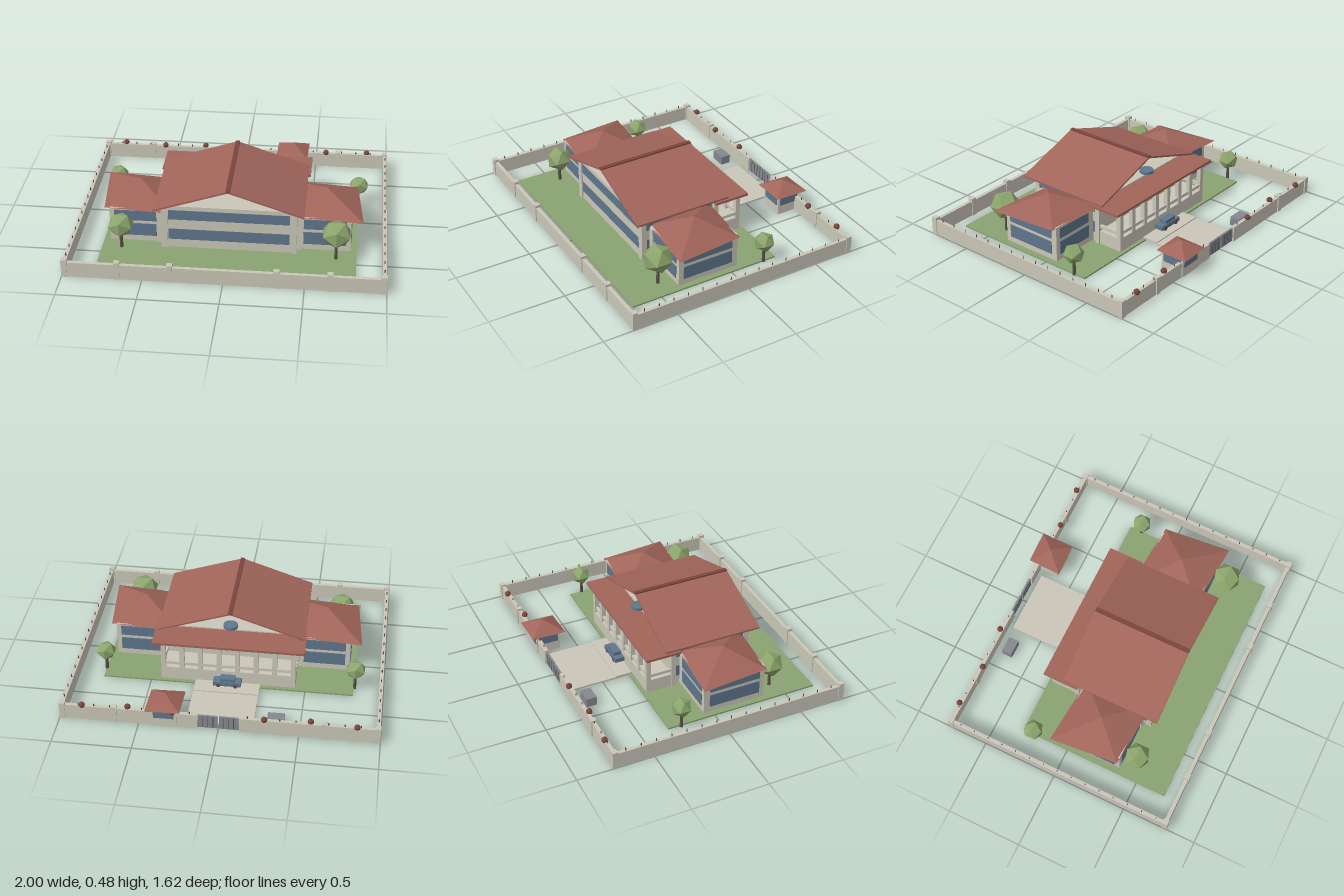
import * as THREE from 'three';

const mat = (name, color) => {
  const m = new THREE.MeshStandardMaterial({ color, flatShading: true });
  m.name = name;
  return m;
};

export function createModel() {
  const model = new THREE.Group();
  model.name = 'walledEstate';
  const cream = mat('cream plaster', 0xcac6b8);
  const tile = mat('roof tile', 0xa1655a);
  const ridgeRed = mat('dark ridge red', 0x7a453d);
  const glass = mat('blue glass', 0x5f768c);
  const grass = mat('lawn green', 0x8aa371);
  const leaf = mat('leaf green', 0x8ca56c);
  const bark = mat('bark', 0x5a5046);
  const steel = mat('grey steel', 0x84888f);

  const add = (name, geo, material, x = 0, y = 0, z = 0, parent = model) => {
    const mesh = new THREE.Mesh(geo, material);
    mesh.name = name;
    mesh.position.set(x, y, z);
    parent.add(mesh);
    return mesh;
  };
  // Box given by its limits on each axis
  const box = (name, material, x0, x1, y0, y1, z0, z1, parent = model) =>
    add(name, new THREE.BoxGeometry(x1 - x0, y1 - y0, z1 - z0), material,
      (x0 + x1) / 2, (y0 + y1) / 2, (z0 + z1) / 2, parent);
  // Four-sided roof whose eave corners are at +-a and +-b around the centre
  const hipRoof = (name, cx, cz, y0, y1, a, b) => {
    const ring = [a, b, [-a[0], -a[1]], [-b[0], -b[1]]];
    const pos = [];
    for (let i = 0; i < 4; i++) {
      const p = ring[i], q = ring[(i + 1) % 4];
      pos.push(p[0], 0, p[1], q[0], 0, q[1], 0, y1 - y0, 0);
      pos.push(q[0], 0, q[1], p[0], 0, p[1], 0, 0, 0);
    }
    const g = new THREE.BufferGeometry();
    g.setAttribute('position', new THREE.Float32BufferAttribute(pos, 3));
    g.computeVertexNormals();
    return add(name, g, tile, cx, y0, cz);
  };

  // Grounds
  box('lawn', grass, -0.81, 0.81, 0, 0.01, -0.32, 0.7);
  box('driveway', cream, -0.21, 0.21, 0.001, 0.013, -0.71, -0.3);
  box('entranceStep', cream, -0.21, 0.21, 0.002, 0.02, -0.41, -0.3);

  // Perimeter wall with posts and spikes
  const wallH = 0.102;
  for (const s of [-1, 1]) {
    box('sideWall', cream, s * 0.984 - 0.012, s * 0.984 + 0.012, 0, wallH, -0.75, 0.788);
    const x0 = s < 0 ? -0.984 : 0.13, x1 = s < 0 ? -0.13 : 0.984;
    box('backWall', cream, x0, x1, 0, wallH, -0.763, -0.739);
    for (const x of [0.982, 0.655, 0.328]) {
      box('frontPost', cream, s * x - 0.018, s * x + 0.018, 0, 0.12, 0.77, 0.806);
      if (x > 0.5) box('backPost', cream, s * x - 0.018, s * x + 0.018, 0, 0.115, -0.77, -0.734);
    }
    for (let z = -0.68; z < 0.75; z += 0.1)
      add('wallSpike', new THREE.CylinderGeometry(0.003, 0.004, 0.02, 4), bark, s * 0.984, wallH + 0.01, z);
    for (let x = 0.18; x < 0.95; x += 0.1)
      add('wallSpike', new THREE.CylinderGeometry(0.003, 0.004, 0.016, 4), bark, s * x, wallH + 0.008, -0.751);
    [[0.285, -0.76], [0.57, -0.741], [0.855, -0.76]].forEach(([x, z]) =>
      add('wallBall', new THREE.IcosahedronGeometry(0.02, 1), ridgeRed, s * x, 0.11, z));
    box('gateLeaf', steel, s > 0 ? 0.006 : -0.125, s > 0 ? 0.125 : -0.006, 0.008, 0.098, -0.757, -0.745);
    for (let i = 1; i < 4; i++)
      box('gateBar', bark, s * i * 0.032 - 0.002, s * i * 0.032 + 0.002, 0.012, 0.094, -0.759, -0.743);
  }
  box('frontWall', cream, -0.984, 0.984, 0, wallH, 0.776, 0.8);

  // Main house
  box('mainBody', cream, -0.42, 0.42, 0.004, 0.31, -0.12, 0.415);
  for (const [y0, y1] of [[0.07, 0.145], [0.215, 0.282]]) {
    box('frontWindow', glass, -0.385, 0.385, y0, y1, 0.413, 0.419);
    for (const s of [-1, 1])
      box('sideWindow', glass, s * 0.421 - 0.003, s * 0.421 + 0.003, y0, y1, -0.085, 0.388);
  }
  for (const s of [-1, 1]) {
    box('frontPier', cream, s * 0.41 - 0.02, s * 0.41 + 0.02, 0.004, 0.308, 0.39, 0.425);
    box('backPier', cream, s * 0.425 - 0.018, s * 0.425 + 0.018, 0.004, 0.295, -0.127, -0.095);
  }

  // Open gable roof
  const chevron = new THREE.Shape([[-0.475, 0.302], [0, 0.461], [0.475, 0.302], [0.475, 0.314], [0, 0.473],
    [-0.475, 0.314]].map(p => new THREE.Vector2(...p)));
  add('mainRoof', new THREE.ExtrudeGeometry(chevron, { depth: 0.66, bevelEnabled: false }), tile, 0, 0, -0.18);
  box('roofRidge', ridgeRed, -0.014, 0.014, 0.462, 0.477, -0.18, 0.48);
  add('gableDisc', new THREE.CylinderGeometry(0.046, 0.046, 0.018, 20), glass, 0, 0.366, -0.157);

  // Columned porch
  box('porchRoof', tile, -0.49, 0.49, 0.286, 0.302, -0.318, -0.08);
  box('porchFloor', cream, -0.435, 0.435, 0.003, 0.1, -0.295, -0.12);
  box('porchRail', cream, -0.435, 0.435, 0.122, 0.142, -0.29, -0.272);
  for (const s of [-1, 1])
    box('porchSideRail', cream, s * 0.425 - 0.01, s * 0.425 + 0.01, 0.122, 0.142, -0.28, -0.12);
  for (let i = 0; i < 8; i++) {
    const x = -0.42 + i * 0.12;
    box('porchColumn', cream, x - 0.015, x + 0.015, 0.1, 0.287, -0.295, -0.265);
  }

  // Side wings
  for (const s of [-1, 1]) {
    const span = (a, b) => (s > 0 ? [a, b] : [-b, -a]);
    box('wingBody', cream, ...span(0.41, 0.77), 0.004, 0.245, -0.06, 0.36);
    for (const [y0, y1] of [[0.05, 0.137], [0.16, 0.23]]) {
      box('wingSideWindow', glass, ...span(0.768, 0.775), y0, y1, -0.02, 0.325);
      box('wingFrontWindow', glass, ...span(0.47, 0.74), y0, y1, 0.358, 0.365);
      box('wingBackWindow', glass, ...span(0.47, 0.74), y0, y1, -0.065, -0.058);
    }
    box('wingPier', cream, ...span(0.435, 0.468), 0.004, 0.243, 0.35, 0.372);
    hipRoof('wingRoof', s * 0.6, 0.15, 0.24, 0.35, [0.245, 0.245], [0.202, -0.207]);
  }

  // Gatehouse
  box('gatehouseBody', cream, 0.26, 0.42, 0, 0.14, -0.77, -0.61);
  box('gatehouseWindowX', glass, 0.256, 0.424, 0.065, 0.127, -0.755, -0.625);
  box('gatehouseWindowZ', glass, 0.275, 0.405, 0.065, 0.127, -0.774, -0.606);
  hipRoof('gatehouseRoof', 0.34, -0.695, 0.138, 0.203, [0.105, 0.108], [0.112, -0.115]);

  // Parked car and utility box
  const car = new THREE.Group();
  car.name = 'car';
  model.add(car);
  box('carBody', glass, -0.09, 0.09, 0.03, 0.058, -0.362, -0.297, car);
  box('carCabin', glass, -0.05, 0.045, 0.058, 0.082, -0.355, -0.303, car);
  for (const x of [-0.055, 0.055])
    add('carAxle', new THREE.CylinderGeometry(0.014, 0.014, 0.067, 12).rotateX(Math.PI / 2), bark, x, 0.033, -0.33, car);
  box('utilityBox', steel, -0.4, -0.295, 0, 0.06, -0.69, -0.622);

  // Trees: x, z, crown height, crown radius
  [[-0.685, 0.447, 0.175, 0.088], [0.68, 0.455, 0.195, 0.1],
    [-0.815, -0.235, 0.15, 0.068], [0.808, -0.235, 0.15, 0.068]].forEach(([x, z, y, r]) => {
    const tree = new THREE.Group();
    tree.name = 'tree';
    tree.position.set(x, 0, z);
    model.add(tree);
    add('trunk', new THREE.CylinderGeometry(0.009, 0.012, y, 6), bark, 0, y / 2, 0, tree);
    const crown = add('crown', new THREE.IcosahedronGeometry(r, 0), leaf, 0, y, 0, tree);
    crown.scale.y = 0.92;
  });
  return model;
}
